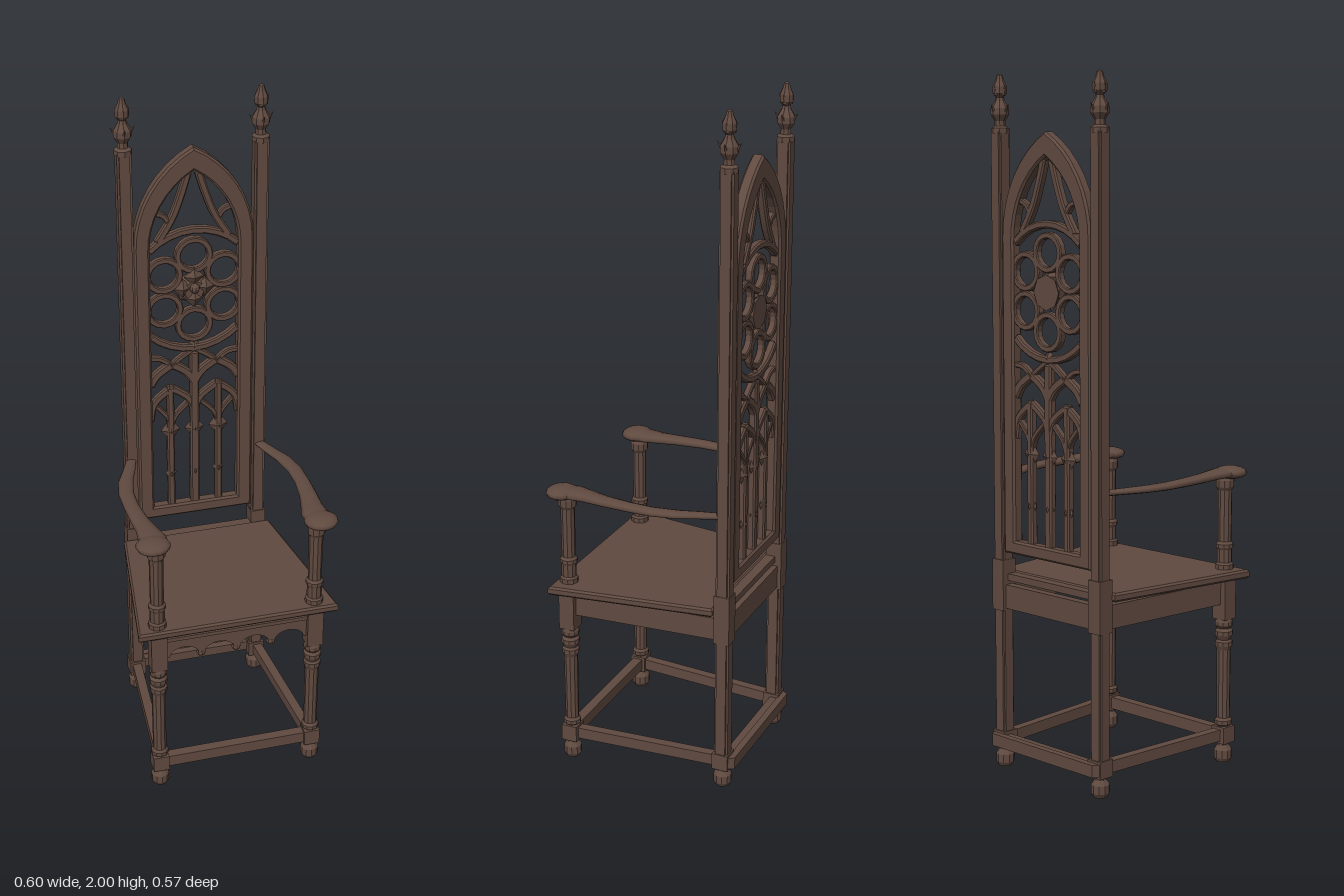
import * as THREE from 'three';

const wood = new THREE.MeshStandardMaterial({ color: 0x604a40 });
wood.name = 'dark wood';

export function createModel() {
  const root = new THREE.Group();
  root.name = 'gothicArmchair';
  const V2 = (x, y) => new THREE.Vector2(x, y);

  function add(geo, name, x = 0, y = 0, z = 0, parent = root) {
    let g = geo;
    if (g.index) g = g.toNonIndexed();
    g.computeVertexNormals();
    const m = new THREE.Mesh(g, wood);
    m.name = name;
    m.position.set(x, y, z);
    parent.add(m);
    return m;
  }
  const box = (w, h, d, name, x, y, z, parent) =>
    add(new THREE.BoxGeometry(w, h, d), name, x, y, z, parent);
  const lathe = (pts, seg, name, x, y, z, parent) =>
    add(new THREE.LatheGeometry(pts.map(p => V2(p[0], p[1])), seg), name, x, y, z, parent);
  const extrude = (shape, depth, bevel = 0) => new THREE.ExtrudeGeometry(shape, {
    depth: depth - 2 * bevel, curveSegments: 8, bevelEnabled: bevel > 0,
    bevelSize: bevel, bevelThickness: bevel, bevelSegments: 1, bevelOffset: -bevel,
  }).translate(0, 0, -depth / 2 + bevel);

  // Horizontal beam between two plan points
  function beam(x1, z1, x2, z2, y, h, d, name) {
    const m = box(Math.hypot(x2 - x1, z2 - z1), h, d, name, (x1 + x2) / 2, y, (z1 + z2) / 2);
    m.rotation.y = -Math.atan2(z2 - z1, x2 - x1);
    return m;
  }

  // Flat strip of constant width following a path in the back's plane
  const Z = -0.248;
  function strip(pts, w, depth, name) {
    const L = [], R = [];
    pts.forEach((p, i) => {
      const a = pts[Math.max(i - 1, 0)], b = pts[Math.min(i + 1, pts.length - 1)];
      const t = V2(b.x - a.x, b.y - a.y).normalize();
      L.push(V2(p.x - t.y * w / 2, p.y + t.x * w / 2));
      R.unshift(V2(p.x + t.y * w / 2, p.y - t.x * w / 2));
    });
    return add(extrude(new THREE.Shape([...L, ...R]), depth, Math.min(w, depth) * 0.2), name, 0, 0, Z);
  }
  const smooth = (pts, n = 10) => new THREE.SplineCurve(pts.map(p => V2(p[0], p[1]))).getPoints(n);

  // Seat board: trapezoid with moulded edge
  const seat = new THREE.Shape([V2(-0.3, -0.265), V2(0.3, -0.265), V2(0.232, 0.225), V2(-0.232, 0.225)]);
  add(extrude(seat, 0.026, 0.006).rotateX(-Math.PI / 2), 'seat', 0, 0.569, 0);

  // Front apron with scalloped arches and pendants
  const apron = new THREE.Shape();
  apron.moveTo(0.215, 0.556);
  apron.lineTo(-0.215, 0.556);
  apron.lineTo(-0.215, 0.465);
  for (let i = 0; i < 4; i++) {
    const c = -0.159 + i * 0.106;
    for (let k = 0; k <= 8; k++) {
      const a = Math.PI * (1 - k / 8);
      apron.lineTo(c + 0.044 * Math.cos(a), 0.467 + 0.03 * Math.sin(a));
    }
  }
  apron.lineTo(0.215, 0.465);
  add(extrude(apron, 0.022), 'frontApron', 0, 0, 0.225);
  for (const x of [-0.106, 0, 0.106]) {
    add(new THREE.SphereGeometry(0.014, 8, 6), 'apronPendant', x, 0.463, 0.225);
  }
  box(0.44, 0.012, 0.036, 'apronMoulding', 0, 0.533, 0.225);
  beam(-0.19, -0.248, 0.19, -0.248, 0.512, 0.07, 0.026, 'backApron');
  box(0.36, 0.02, 0.035, 'seatBackRail', 0, 0.568, -0.235);

  // Low stretchers
  beam(-0.235, 0.228, 0.235, 0.228, 0.083, 0.036, 0.03, 'frontStretcher');
  const backBar = new THREE.Shape([V2(-0.22, 0.27), V2(0.22, 0.27), V2(0.206, 0.29), V2(-0.206, 0.29)]);
  add(extrude(backBar, 0.036).rotateX(-Math.PI / 2), 'backStretcher', 0, 0.083, 0);
  box(0.4, 0.03, 0.026, 'backStretcherCore', 0, 0.083, -0.26);

  const legProfile = [
    [0, 0], [0.02, 0], [0.027, 0.012], [0.027, 0.036], [0.018, 0.05], [0.018, 0.108], [0.026, 0.114],
    [0.026, 0.126], [0.02, 0.134], [0.021, 0.34], [0.026, 0.352], [0.026, 0.364], [0.02, 0.37],
    [0.027, 0.384], [0.027, 0.396], [0.02, 0.404], [0.026, 0.412], [0.026, 0.424], [0.022, 0.434], [0, 0.434]];
  const armPostProfile = [
    [0, 0.58], [0.027, 0.58], [0.027, 0.596], [0.022, 0.602], [0.022, 0.64], [0.026, 0.646], [0.026, 0.656],
    [0.02, 0.664], [0.021, 0.815], [0.027, 0.825], [0.027, 0.845], [0.02, 0.862], [0, 0.862]];
  const finialProfile = [
    [0, 1.835], [0.026, 1.835], [0.026, 1.85], [0.016, 1.856], [0.015, 1.87], [0.026, 1.888], [0.026, 1.905],
    [0.014, 1.925], [0.011, 1.935], [0.02, 1.947], [0.02, 1.965], [0.012, 1.982], [0.008, 1.996], [0, 2]];

  // Post section with grooved corners
  function postSection(r, n) {
    const q = [[r, -r + n], [r, r - n], [r - n, r - n], [r - n, r]];
    const pts = [];
    for (let k = 0; k < 4; k++) {
      const c = Math.round(Math.cos(k * Math.PI / 2)), s = Math.round(Math.sin(k * Math.PI / 2));
      for (const [x, y] of q.slice(0, 3)) pts.push(V2(c * x - s * y, s * x + c * y));
    }
    return new THREE.Shape(pts);
  }

  // Arm sections: x, y, z, half width, half height
  const armRows = [
    [0.2, 0.86, -0.235, 0.016, 0.008], [0.221, 0.861, -0.175, 0.02, 0.009], [0.243, 0.862, -0.12, 0.023, 0.01],
    [0.257, 0.863, -0.05, 0.023, 0.011], [0.258, 0.864, 0.02, 0.023, 0.012], [0.252, 0.865, 0.1, 0.027, 0.013],
    [0.243, 0.866, 0.16, 0.033, 0.014], [0.24, 0.867, 0.2, 0.041, 0.015], [0.244, 0.867, 0.24, 0.04, 0.015]];
  function armGeometry(s) {
    const N = 10, pos = [], idx = [];
    for (const [x, y, z, a, b] of armRows) {
      for (let k = 0; k < N; k++) {
        const t = k / N * Math.PI * 2;
        pos.push(s * (x + a * Math.cos(t)), y + b * Math.sin(t), z);
      }
    }
    for (let i = 0; i < armRows.length - 1; i++) {
      for (let k = 0; k < N; k++) {
        const a = i * N + k, b = i * N + (k + 1) % N, c = a + N, d = b + N;
        if (s > 0) idx.push(a, b, c, b, d, c);
        else idx.push(a, c, b, b, c, d);
      }
    }
    const g = new THREE.BufferGeometry();
    g.setAttribute('position', new THREE.Float32BufferAttribute(pos, 3));
    g.setIndex(idx);
    g.computeVertexNormals();
    return g;
  }

  for (const s of [1, -1]) {
    const side = s > 0 ? 'left' : 'right';
    const fx = s * 0.236, fz = 0.227, bx = s * 0.197;
    // Front leg and arm post
    lathe(legProfile, 10, side + 'FrontLeg', fx, 0, fz);
    box(0.048, 0.05, 0.048, side + 'FrontLegBlock', fx, 0.083, fz);
    box(0.048, 0.125, 0.048, side + 'FrontLegTopBlock', fx, 0.495, fz);
    lathe(armPostProfile, 10, side + 'ArmPost', fx, 0, fz);
    // Arm with scrolled hand rest
    const arm = new THREE.Mesh(armGeometry(s), wood);
    arm.name = side + 'Arm';
    root.add(arm);
    const knob = new THREE.Mesh(new THREE.SphereGeometry(1, 14, 8), wood);
    knob.name = side + 'HandRest';
    knob.scale.set(0.05, 0.019, 0.047);
    knob.position.set(s * 0.246, 0.867, 0.238);
    root.add(knob);
    // Side apron and stretcher
    beam(s * 0.232, 0.21, s * 0.2, -0.235, 0.512, 0.068, 0.024, side + 'Apron');
    beam(fx, 0.25, bx, -0.275, 0.083, 0.034, 0.028, side + 'Stretcher');
    // Back post with foot, blocks and leafy finial
    lathe(legProfile.slice(0, 6).concat([[0, 0.108]]), 10, side + 'BackFoot', bx, 0, Z);
    box(0.05, 0.05, 0.05, side + 'BackFootBlock', bx, 0.083, Z);
    add(extrude(postSection(0.021, 0.006), 1.74).rotateX(-Math.PI / 2), side + 'BackPost', bx, 0.97, Z);
    box(0.046, 0.15, 0.048, side + 'BackPostBlock', bx, 0.545, Z);
    lathe(finialProfile, 8, side + 'Finial', bx, 0, Z);
    for (let k = 0; k < 4; k++) {
      const a = k * Math.PI / 2;
      for (const [r, y, h, tilt] of [[0.024, 1.9, 0.04, 0.6], [0.016, 1.956, 0.028, 0.4]]) {
        const leaf = add(new THREE.ConeGeometry(0.009, h, 5), side + 'FinialLeaf',
          bx + r * Math.cos(a), y, Z + r * Math.sin(a));
        leaf.rotation.set(Math.sin(a) * tilt, 0, -Math.cos(a) * tilt);
      }
    }
  }

  // Pointed-arch back frame
  const archTo = (path, w, top, spring, bottom) => {
    const h = top - spring, c = (h * h - w * w) / (2 * w), R = c + w;
    const a0 = Math.atan2(h, c);
    path.moveTo(-w, bottom);
    path.lineTo(w, bottom);
    for (let k = 0; k <= 8; k++) path.lineTo(-c + R * Math.cos(a0 * k / 8), spring + R * Math.sin(a0 * k / 8));
    for (let k = 7; k >= 0; k--) path.lineTo(c - R * Math.cos(a0 * k / 8), spring + R * Math.sin(a0 * k / 8));
    return path;
  };
  const frame = archTo(new THREE.Shape(), 0.176, 1.84, 1.55, 0.643);
  frame.holes.push(archTo(new THREE.Path(), 0.131, 1.772, 1.54, 0.682));
  add(extrude(frame, 0.036, 0.006), 'backFrame', 0, 0, Z);

  // Rose: six pierced circles in a wheel, with a flower boss
  const ring = (x, y, r, R, name) => {
    const sh = new THREE.Shape().absarc(0, 0, R, 0, Math.PI * 2);
    sh.holes.push(new THREE.Path().absarc(0, 0, r, 0, Math.PI * 2, true));
    add(extrude(sh, 0.022, 0.003), name, x, y, Z);
  };
  const cy = 1.4;
  for (let k = 0; k < 6; k++) {
    const a = Math.PI / 2 + k * Math.PI / 3;
    ring(0.11 * Math.cos(a) * 0.93, cy + 0.11 * Math.sin(a), 0.039, 0.057, 'roseCircle');
  }
  add(new THREE.CylinderGeometry(0.03, 0.05, 0.026, 8).rotateX(Math.PI / 2), 'roseHub', 0, cy, Z);
  for (let k = 0; k < 4; k++) {
    const a = k * Math.PI / 2;
    const petal = add(new THREE.OctahedronGeometry(1), 'rosePetal', 0.034 * Math.cos(a), cy + 0.01 + 0.034 * Math.sin(a), Z + 0.008);
    petal.scale.set(0.03, 0.03, 0.016);
  }
  add(new THREE.SphereGeometry(0.015, 8, 6), 'roseBoss', 0, cy + 0.01, Z + 0.018);
  for (const s of [1, -1]) {
    const arc = [];
    for (let k = 0; k <= 8; k++) {
      const a = s * (Math.PI / 2) - 0.78 + k * 1.56 / 8;
      arc.push(V2(0.188 * Math.cos(a), cy + 0.188 * Math.sin(a)));
    }
    strip(arc, 0.022, 0.024, 'roseRim');
  }
  add(new THREE.OctahedronGeometry(0.026), 'roseDrop', 0, 1.215, Z).scale.z = 0.5;

  // Mirrored tracery: teardrop bars, sub-arches and lancet heads
  for (const s of [1, -1]) {
    const m = pts => smooth(pts.map(([x, y]) => [s * x, y]));
    strip(m([[0.015, 1.765], [0.035, 1.7], [0.062, 1.63], [0.105, 1.56]]), 0.022, 0.024, 'teardropBar');
    strip(m([[0.07, 1.615], [0.088, 1.64], [0.112, 1.65]]), 0.016, 0.02, 'teardropCusp');
    strip(m([[0.135, 1.1], [0.112, 1.135], [0.068, 1.165]]), 0.026, 0.024, 'subArch');
    strip(m([[0, 1.1], [0.024, 1.135], [0.068, 1.165]]), 0.026, 0.024, 'subArch');
    strip(m([[0.068, 1.16], [0.1, 1.185], [0.135, 1.19]]), 0.016, 0.02, 'subArchCrest');
    strip(m([[0.068, 1.16], [0.045, 1.18], [0, 1.21]]), 0.016, 0.02, 'subArchCrest');
    strip(m([[0.135, 0.98], [0.122, 1.04], [0.07, 1.085]]), 0.022, 0.022, 'lancetHead');
    strip(m([[0, 0.98], [0.014, 1.04], [0.07, 1.085]]), 0.022, 0.022, 'lancetHead');
    strip(m([[0.072, 0.95], [0.085, 0.99], [0.118, 1.03]]), 0.014, 0.02, 'lancetCusp');
    strip(m([[0.072, 0.95], [0.058, 0.99], [0.02, 1.03]]), 0.014, 0.02, 'lancetCusp');
  }

  // Mullions with diamond capitals
  for (const x of [-0.074, 0, 0.074]) {
    const top = x === 0 ? 1.2 : 1.09;
    strip([V2(x, 0.67), V2(x, top)], x === 0 ? 0.028 : 0.022, 0.024, 'mullion');
    for (const [y, r] of [[0.94, 0.03], [0.79, 0.017]]) {
      const cap = add(new THREE.OctahedronGeometry(1), 'mullionCapital', x, y, Z);
      cap.scale.set(r, 0.04, 0.016);
    }
  }
  return root;
}
